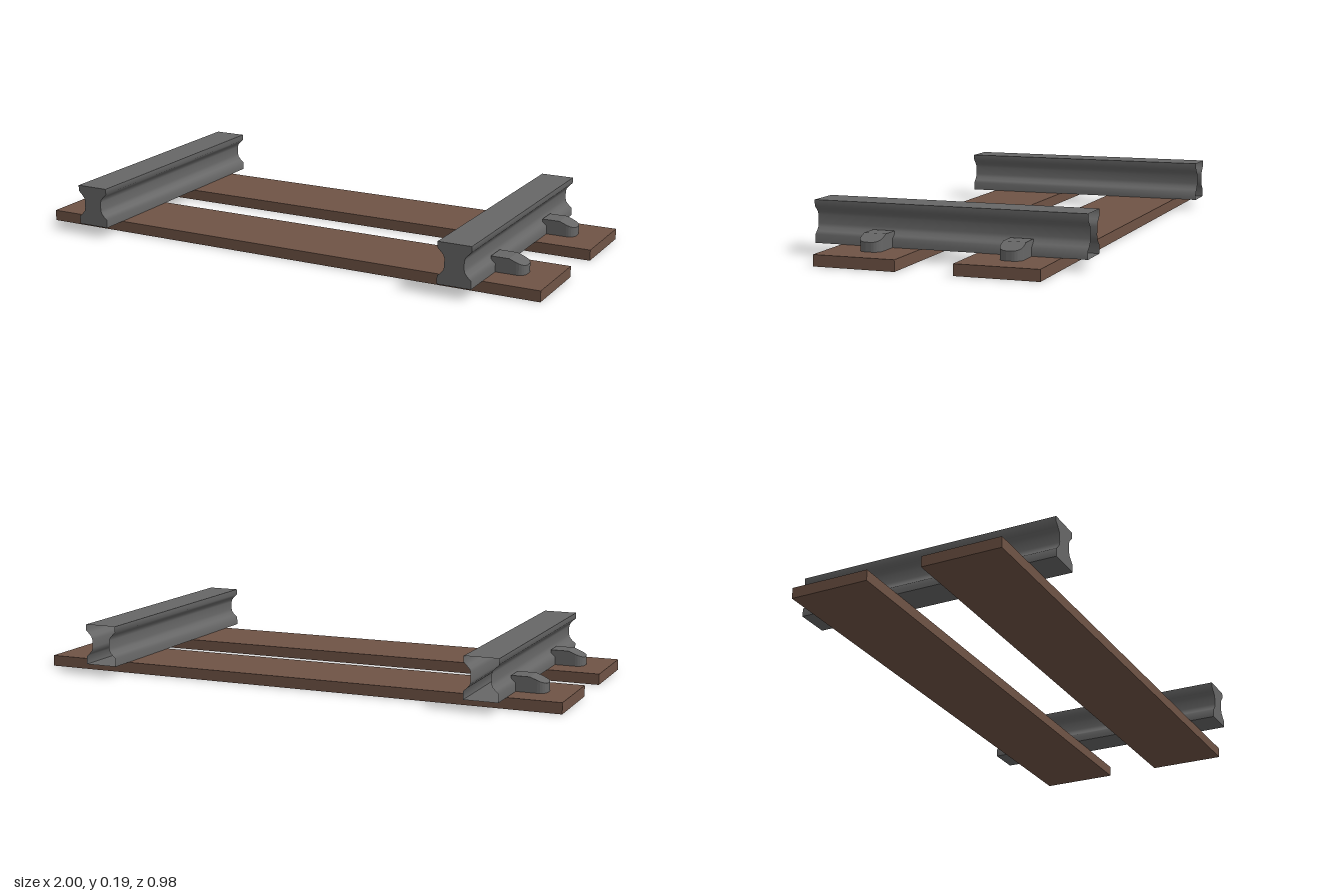
import * as THREE from 'three';
import { ConvexGeometry } from 'three/addons/geometries/ConvexGeometry.js';
import { mergeGeometries } from 'three/addons/utils/BufferGeometryUtils.js';

const steel = new THREE.MeshStandardMaterial({ color: 0x666666, side: THREE.DoubleSide });
const wood = new THREE.MeshStandardMaterial({ color: 0x6f5345 });
const HALF_LENGTH = 0.49;

// Right half of the rail section, bottom to top: [half width, height]
const SIDE = [[0.062, 0.04], [0.062, 0.07], [0.05, 0.08], [0.039, 0.093], [0.036, 0.105],
  [0.036, 0.135], [0.04, 0.146], [0.05, 0.157], [0.062, 0.169], [0.062, 0.19]];

// Smooth wall running along z through a list of section points
function wall(points) {
  const pos = [], uv = [], index = [];
  points.forEach(([x, y], i) => {
    pos.push(x, y, HALF_LENGTH, x, y, -HALF_LENGTH);
    uv.push(0, i, 1, i);
    if (i) {
      const a = 2 * i - 2;
      index.push(a, a + 1, a + 2, a + 1, a + 3, a + 2);
    }
  });
  const g = new THREE.BufferGeometry();
  g.setAttribute('position', new THREE.Float32BufferAttribute(pos, 3));
  g.setAttribute('uv', new THREE.Float32BufferAttribute(uv, 2));
  g.setIndex(index);
  g.computeVertexNormals();
  return g;
}

// Waisted rail, capped at the front and open at the back
function railGeometry() {
  const left = SIDE.map(([x, y]) => [-x, y]).reverse();
  const outline = [...SIDE, ...left].map(([x, y]) => new THREE.Vector2(x, y));
  const cap = new THREE.ShapeGeometry(new THREE.Shape(outline)).translate(0, 0, HALF_LENGTH);
  return mergeGeometries([
    wall(SIDE), wall(left),
    wall([SIDE.at(-1), left[0]]),
    wall([left.at(-1), SIDE[0]]),
    cap,
  ]);
}

// Clip pointing to +x from the rail centre, with rounded corners and a sloping nose
function clipGeometry() {
  const end = 0.168, half = 0.04, r = 0.03, crease = 0.112;
  const plan = [[0.045, half], [crease, half]];
  for (let i = 0; i <= 5; i++) {
    const a = (i / 5) * Math.PI / 2;
    plan.push([end - r + r * Math.sin(a), half - r + r * Math.cos(a)]);
  }
  const points = [];
  for (const [x, z] of plan) {
    const top = 0.095 - 0.022 * Math.max(0, (x - crease) / (end - crease));
    for (const s of [-1, 1]) {
      points.push(new THREE.Vector3(x, 0.04, s * z), new THREE.Vector3(x, top, s * z));
    }
  }
  return new ConvexGeometry(points);
}

export function createModel() {
  const model = new THREE.Group();
  model.name = 'railwayTrack';
  const add = (geometry, material, name, x, y, z) => {
    const mesh = new THREE.Mesh(geometry, material);
    mesh.name = name;
    mesh.position.set(x, y, z);
    model.add(mesh);
    return mesh;
  };

  // Wooden sleepers
  const sleeper = new THREE.BoxGeometry(2, 0.04, 0.293);
  add(sleeper, wood, 'frontSleeper', 0, 0.02, 0.245);
  add(sleeper, wood, 'backSleeper', 0, 0.02, -0.253);

  // Rails, each with a clip on its outer side above every sleeper
  const rail = railGeometry(), clip = clipGeometry();
  for (const [side, x] of [['left', 0.73], ['right', -0.745]]) {
    add(rail, steel, side + 'Rail', x, 0, 0);
    for (const [end, z] of [['Front', 0.24], ['Back', -0.257]]) {
      const mesh = add(clip, steel, side + end + 'Clip', x, 0, z);
      if (x < 0) mesh.rotation.y = Math.PI;
    }
  }
  return model;
}
